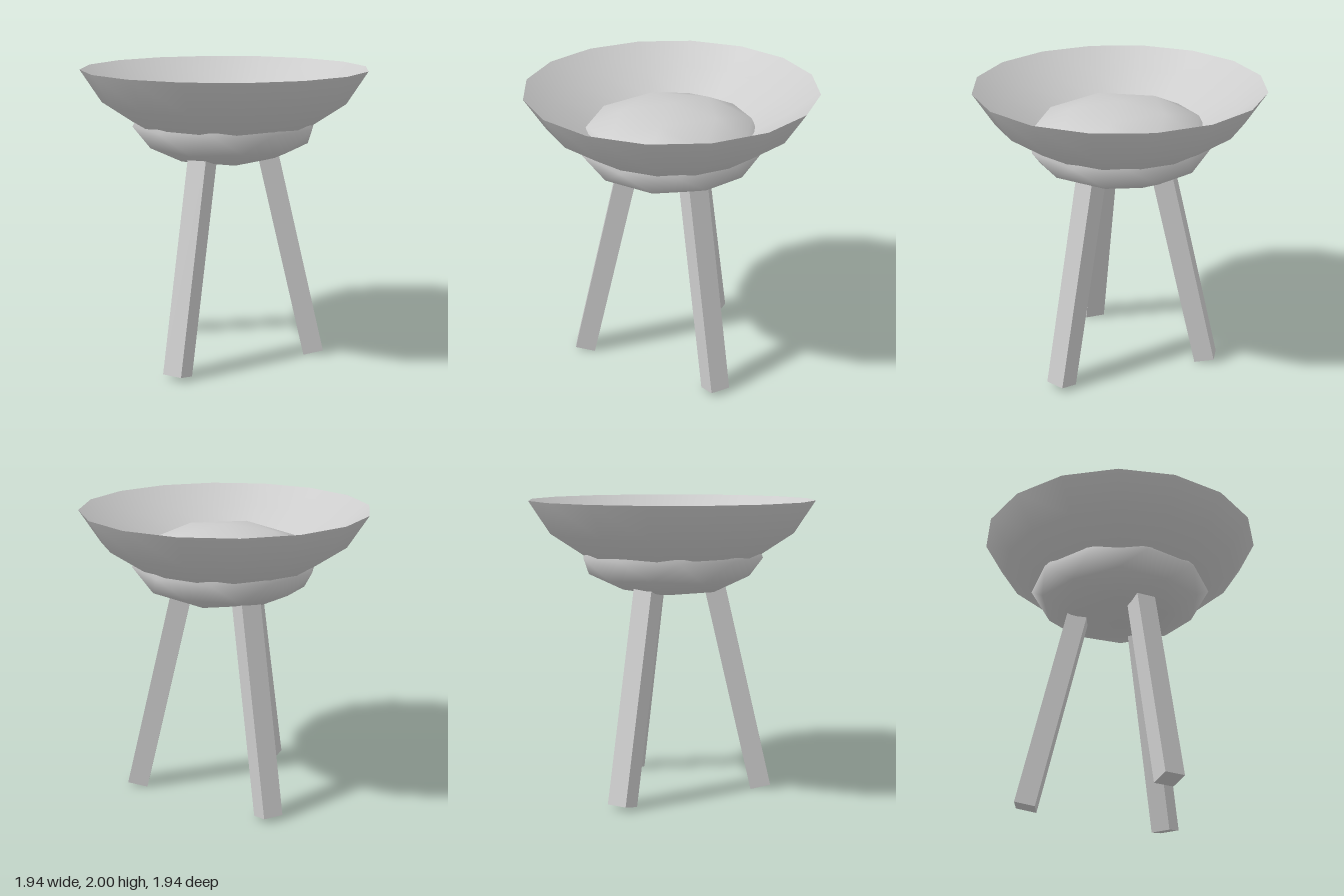
import * as THREE from 'three';

export function createModel() {
  const model = new THREE.Group();
  const material = new THREE.MeshStandardMaterial({ color: 0xcccccc });
  const shellMaterial = new THREE.MeshStandardMaterial({ color: 0xcccccc, side: THREE.DoubleSide });

  const add = (name, geometry, mat, parent = model) => {
    const mesh = new THREE.Mesh(geometry, mat);
    mesh.name = name;
    parent.add(mesh);
    return mesh;
  };
  const lathe = (points) =>
    new THREE.LatheGeometry(points.map(([r, y]) => new THREE.Vector2(r, y)), 16);

  // Bowl: slice of a 16-sided sphere, its wall thinning to a sharp rim
  add('bowlOutside', lathe([[0, 1.44], [0.448, 1.53], [0.828, 1.782], [0.97, 2]]), shellMaterial);
  add('bowlInside', lathe([[0.97, 2], [0.78, 1.858], [0.57, 1.73], [0.41, 1.62], [0, 1.53]]), shellMaterial);

  // Flattened ball through the bowl: domed floor above, rounded base below
  const ball = new THREE.IcosahedronGeometry(1, 1);
  ball.rotateZ(-Math.atan2(2, 1 + Math.sqrt(5))); // stand it on a corner
  ball.scale(0.63, 0.27, 0.63);
  ball.translate(0, 1.62, 0);
  add('base', ball, material);

  // Three square legs splayed outwards
  const length = 1.47, width = 0.14, tilt = 0.228;
  const legGeometry = new THREE.BoxGeometry(width, length, width).translate(0, length / 2, 0);
  ['backLeg', 'frontLeftLeg', 'frontRightLeg'].forEach((name, i) => {
    const pivot = new THREE.Group();
    pivot.rotation.y = -i * Math.PI * 2 / 3;
    const leg = add(name, legGeometry, material, pivot);
    leg.position.set(0, (width / 2) * Math.sin(tilt), -0.62);
    leg.rotation.x = tilt;
    model.add(pivot);
  });

  return model;
}
